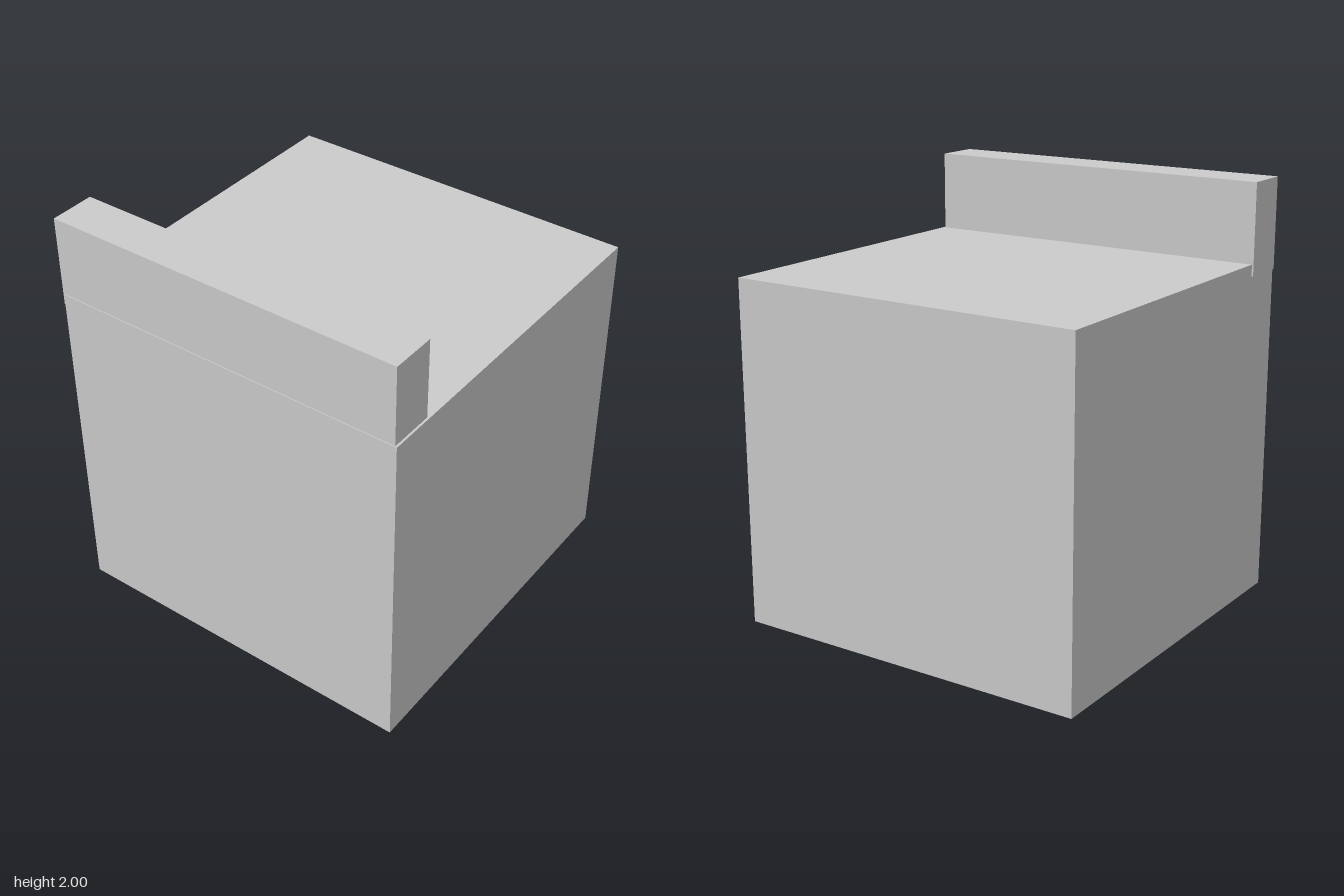
import * as THREE from 'three';

export function createModel() {
  const group = new THREE.Group();
  const material = new THREE.MeshStandardMaterial({ color: 0xcccccc, flatShading: true });

  // Box given by its minimum and maximum corners
  const addBox = (name, [x0, y0, z0], [x1, y1, z1]) => {
    const mesh = new THREE.Mesh(new THREE.BoxGeometry(x1 - x0, y1 - y0, z1 - z0), material);
    mesh.position.set((x0 + x1) / 2, (y0 + y1) / 2, (z0 + z1) / 2);
    mesh.name = name;
    group.add(mesh);
  };

  // Main block
  addBox('body', [-0.862, 0, -0.865], [0.87, 1.625, 0.865]);
  // Raised ledge along the front edge, set slightly to one side and sunk into the block
  addBox('frontLedge', [-0.87, 1.57, 0.645], [0.86, 2, 0.861]);

  return group;
}
